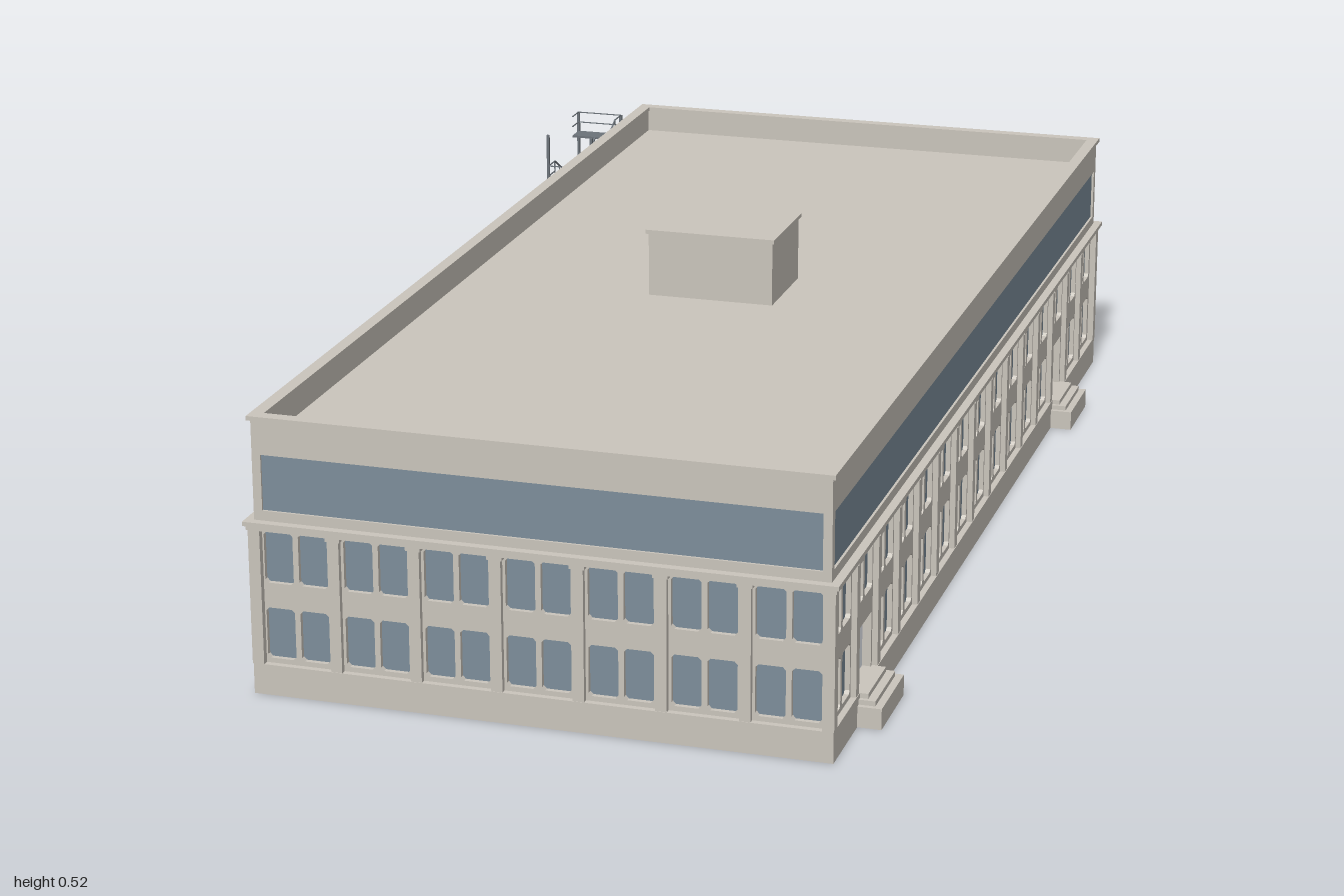
import * as THREE from 'three';

const stone = new THREE.MeshStandardMaterial({ color: 0xcac5bc });
stone.name = 'stone';
const glass = new THREE.MeshStandardMaterial({ color: 0x7d8e9b, side: THREE.DoubleSide });
glass.name = 'glass';
const metal = new THREE.MeshStandardMaterial({ color: 0x6c737a });
metal.name = 'dark metal';

function add(parent, name, geometry, material) {
  const mesh = new THREE.Mesh(geometry, material);
  mesh.name = name;
  parent.add(mesh);
  return mesh;
}

// Box given by its minimum and maximum corners
function box(parent, name, material, x0, x1, y0, y1, z0, z1) {
  const mesh = add(parent, name, new THREE.BoxGeometry(x1 - x0, y1 - y0, z1 - z0), material);
  mesh.position.set((x0 + x1) / 2, (y0 + y1) / 2, (z0 + z1) / 2);
  return mesh;
}

// Square bar between two points
function bar(parent, name, a, b, size) {
  const from = new THREE.Vector3(...a), to = new THREE.Vector3(...b);
  const mesh = add(parent, name, new THREE.BoxGeometry(size, size, from.distanceTo(to)), metal);
  mesh.position.copy(from).lerp(to, 0.5);
  mesh.lookAt(to);
  return mesh;
}

// Closed outline of a rectangle with cut corners
function outline(Type, x0, x1, y0, y1, c = 0) {
  const pts = c
    ? [[x0 + c, y0], [x1 - c, y0], [x1, y0 + c], [x1, y1 - c], [x1 - c, y1], [x0 + c, y1], [x0, y1 - c], [x0, y0 + c]]
    : [[x0, y0], [x1, y0], [x1, y1], [x0, y1]];
  return new Type(pts.map(([x, y]) => new THREE.Vector2(x, y)));
}

// Hollow rectangular band running around the building
function ring(parent, name, material, hx, hz, y0, y1, t) {
  const shape = outline(THREE.Shape, -hx, hx, -hz, hz);
  shape.holes.push(outline(THREE.Path, -hx + t, hx - t, -hz + t, hz - t));
  const g = new THREE.ExtrudeGeometry(shape, { depth: y1 - y0, bevelEnabled: false });
  g.rotateX(-Math.PI / 2);
  return add(parent, name, g, material).position.y = y0;
}

// One two-storey facade: pierced wall, panes and piers, facing local +z
function facade(parent, name, angle, distance, half, bays, pitch, doors) {
  const group = new THREE.Group();
  group.name = name;
  group.rotation.y = angle;
  parent.add(group);
  const wall = outline(THREE.Shape, -half, half, 0.045, 0.275);
  const depth = 0.014;
  for (let i = 0; i < bays; i++) {
    const cx = (i - (bays - 1) / 2) * pitch;
    for (const [row, y0, y1] of [[0, 0.058, 0.141], [1, 0.182, 0.266]]) {
      if (row === 0 && doors.includes(i)) {
        wall.holes.push(outline(THREE.Path, cx - 0.05, cx + 0.05, 0.05, 0.141));
        continue;
      }
      for (const s of [-1, 1]) {
        const x = cx + s * 0.028;
        wall.holes.push(outline(THREE.Path, x - 0.0235, x + 0.0235, y0, y1, 0.005));
        const pane = add(group, 'windowPane', new THREE.PlaneGeometry(0.05, y1 - y0 + 0.004), glass);
        pane.position.set(x, (y0 + y1) / 2, distance - 0.008);
      }
    }
  }
  const g = new THREE.ExtrudeGeometry(wall, { depth, bevelEnabled: false });
  add(group, 'windowWall', g, stone).position.z = distance - depth;
  for (let i = 1; i < bays; i++) {
    const x = (i - bays / 2) * pitch;
    box(group, 'pier', stone, x - 0.009, x + 0.009, 0.05, 0.264, distance - 0.005, distance + 0.009);
    box(group, 'pierCap', stone, x - 0.012, x + 0.012, 0.264, 0.272, distance - 0.005, distance + 0.012);
  }
}

// Entrance steps on one long side
function entranceSteps(parent, side, z) {
  [[0.5, 0.034, 0.07], [0.488, 0.042, 0.062], [0.475, 0.05, 0.055]].forEach(([out, top, w], i) => {
    const a = side * 0.455, b = side * out;
    box(parent, 'entranceStep', stone, Math.min(a, b), Math.max(a, b), i ? 0.03 : 0, top, z - w, z + w);
  });
}

// Zigzag outside stair with landings and railings
function fireEscape() {
  const group = new THREE.Group();
  group.name = 'fireEscape';
  const xL = -0.538, xR = -0.45, zB = -0.938, zF = -0.752, back = -0.9, front = -0.79;
  const levels = [0.024, 0.09, 0.15, 0.213, 0.275, 0.338, 0.4];
  for (const x of [xL, xR]) {
    for (const z of [zB, zF]) bar(group, 'post', [x, 0.02, z], [x, 0.44, z], 0.005);
  }
  for (let i = 0; i < 6; i++) {
    const up = i % 2 === 0;
    const y0 = levels[i], y1 = levels[i + 1];
    const z0 = up ? back : front, z1 = up ? front : back;
    const x0 = up ? -0.538 : -0.492, x1 = up ? -0.498 : -0.45;
    for (let k = 1; k <= 8; k++) {
      const t = k / 9, z = z0 + (z1 - z0) * t, y = y0 + (y1 - y0) * t;
      box(group, 'tread', metal, x0, x1, y - 0.0015, y + 0.0015, z - 0.007, z + 0.007);
    }
    for (const x of [x0, x1]) bar(group, 'stringer', [x, y0, z0], [x, y1, z1], 0.003);
    // Railing on the outer side of the flight
    const xo = up ? xL : xR;
    bar(group, 'handrail', [xo, y0 + 0.04, z0], [xo, y1 + 0.04, z1], 0.0025);
    for (let k = 0; k <= 4; k++) {
      const z = z0 + (z1 - z0) * k / 4, y = y0 + (y1 - y0) * k / 4;
      bar(group, 'baluster', [xo, y, z], [xo, y + 0.04, z], 0.002);
    }
    // Landing at the head of the flight
    const [za, zb] = up ? [front, zF] : [zB, back];
    box(group, 'landing', metal, xL, i === 5 ? -0.4 : xR, y1 - 0.002, y1 + 0.002, za, zb);
    const ze = up ? zF : zB;
    for (const h of [0.02, 0.04]) {
      bar(group, 'landingRail', [xL, y1 + h, ze], [xR, y1 + h, ze], 0.0018);
      for (const x of [xL, xR]) bar(group, 'landingRail', [x, y1 + h, za], [x, y1 + h, zb], 0.0018);
    }
  }
  return group;
}

export function createModel() {
  const model = new THREE.Group();
  model.name = 'officeBlock';
  const building = new THREE.Group();
  building.name = 'building';
  building.position.x = 0.038;
  model.add(building);

  // Lower storeys
  ring(building, 'plinth', stone, 0.462, 0.993, 0, 0.05, 0.022);
  const q = Math.PI / 2, p = 0.1305;
  facade(building, 'frontFacade', 0, 0.983, 0.452, 7, 0.13, []);
  facade(building, 'backFacade', 2 * q, 0.983, 0.452, 7, 0.13, []);
  facade(building, 'leftFacade', q, 0.452, 0.97, 15, p, [1, 12]);
  facade(building, 'rightFacade', -q, 0.452, 0.97, 15, p, [10]);
  for (const sx of [-1, 1]) {
    for (const sz of [-1, 1]) {
      const post = box(building, 'cornerPier', stone, -0.0095, 0.0095, 0.05, 0.272, -0.0095, 0.0095);
      post.position.x = sx * 0.4535;
      post.position.z = sz * 0.9845;
    }
  }
  ring(building, 'lowerCornice', stone, 0.465, 0.996, 0.27, 0.277, 0.03);
  ring(building, 'lowerCorniceLip', stone, 0.469, 1, 0.277, 0.284, 0.034);

  // Set-back upper storey with its ribbon window
  ring(building, 'ribbonSill', stone, 0.455, 0.986, 0.284, 0.3, 0.016);
  ring(building, 'ribbonWindow', glass, 0.451, 0.982, 0.3, 0.39, 0.008);
  for (const sx of [-1, 1]) {
    for (const sz of [-1, 1]) {
      const post = box(building, 'ribbonCorner', stone, -0.007, 0.007, 0.3, 0.39, -0.007, 0.007);
      post.position.x = sx * 0.448;
      post.position.z = sz * 0.979;
    }
  }
  ring(building, 'parapet', stone, 0.455, 0.986, 0.39, 0.445, 0.014);
  ring(building, 'parapetCap', stone, 0.46, 0.991, 0.445, 0.452, 0.021);

  // Roof and its small plant room
  box(building, 'roof', stone, -0.445, 0.445, 0.392, 0.405, -0.976, 0.976);
  box(building, 'plantRoom', stone, -0.109, 0.109, 0.405, 0.514, -0.085, 0.081);
  box(building, 'plantRoomCap', stone, -0.113, 0.113, 0.514, 0.521, -0.089, 0.085);

  entranceSteps(building, 1, 6 * p);
  entranceSteps(building, 1, -5 * p);
  entranceSteps(building, -1, 3 * p);

  model.add(fireEscape());
  return model;
}
